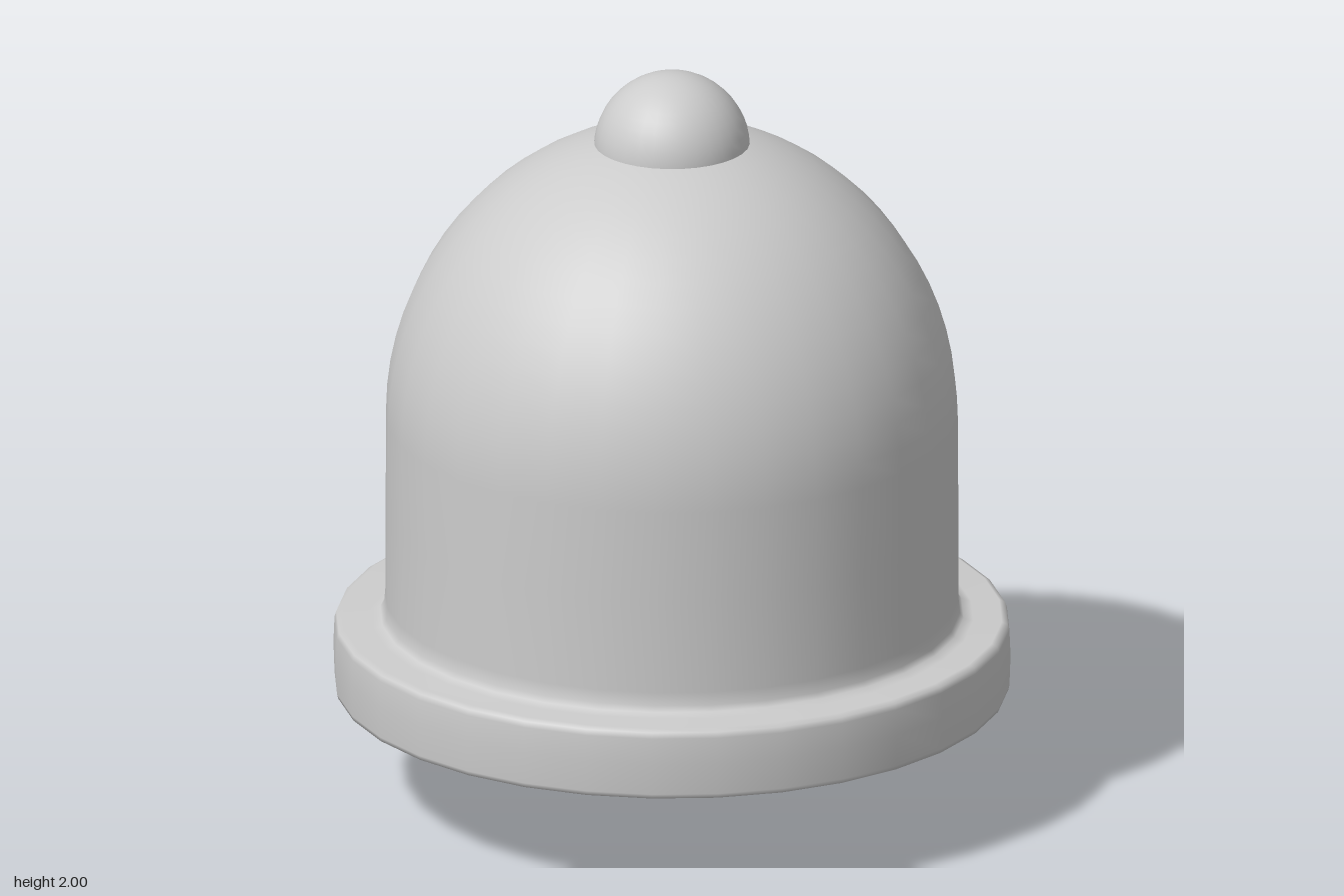
import * as THREE from 'three';

export function createModel() {
  const model = new THREE.Group();
  const material = new THREE.MeshStandardMaterial({ color: 0xcccccc, side: THREE.DoubleSide });

  const add = (name, geometry, y = 0) => {
    const mesh = new THREE.Mesh(geometry, material);
    mesh.name = name;
    mesh.position.y = y;
    model.add(mesh);
  };

  // Quarter ellipse from the wall up to the crown
  const dome = (radius, height, base, steps = 18) =>
    Array.from({ length: steps + 1 }, (_, i) => {
      const a = (i / steps) * Math.PI / 2;
      return [i === steps ? 0 : radius * Math.cos(a), base + height * Math.sin(a)];
    });

  // Hollow bell: down the inside, under the lip, up the outside
  const profile = [
    ...dome(0.66, 0.71, 1.05).reverse(),
    [0.66, 0.8], [0.66, 0.46], [0.665, 0.42], [0.68, 0.4],
    [0.70, 0.395], [0.76, 0.395], [0.775, 0.39], [0.78, 0.375],
    [0.78, 0.315], [0.782, 0.303], [0.79, 0.3],
    [0.87, 0.3], [0.882, 0.303], [0.885, 0.315],
    [0.888, 0.4], [0.885, 0.47], [0.88, 0.485], [0.865, 0.492],
    [0.79, 0.492], [0.765, 0.5], [0.755, 0.515], [0.752, 0.55], [0.751, 0.8],
    ...dome(0.75, 0.79, 1.05),
  ].map(([x, y]) => new THREE.Vector2(x, y));
  add('bellBody', new THREE.LatheGeometry(profile, 32));

  // Round knob on the crown and ball clapper in the mouth
  add('topKnob', new THREE.SphereGeometry(0.205, 32, 24), 1.795);
  add('clapper', new THREE.SphereGeometry(0.295, 32, 24), 0.295);

  return model;
}
